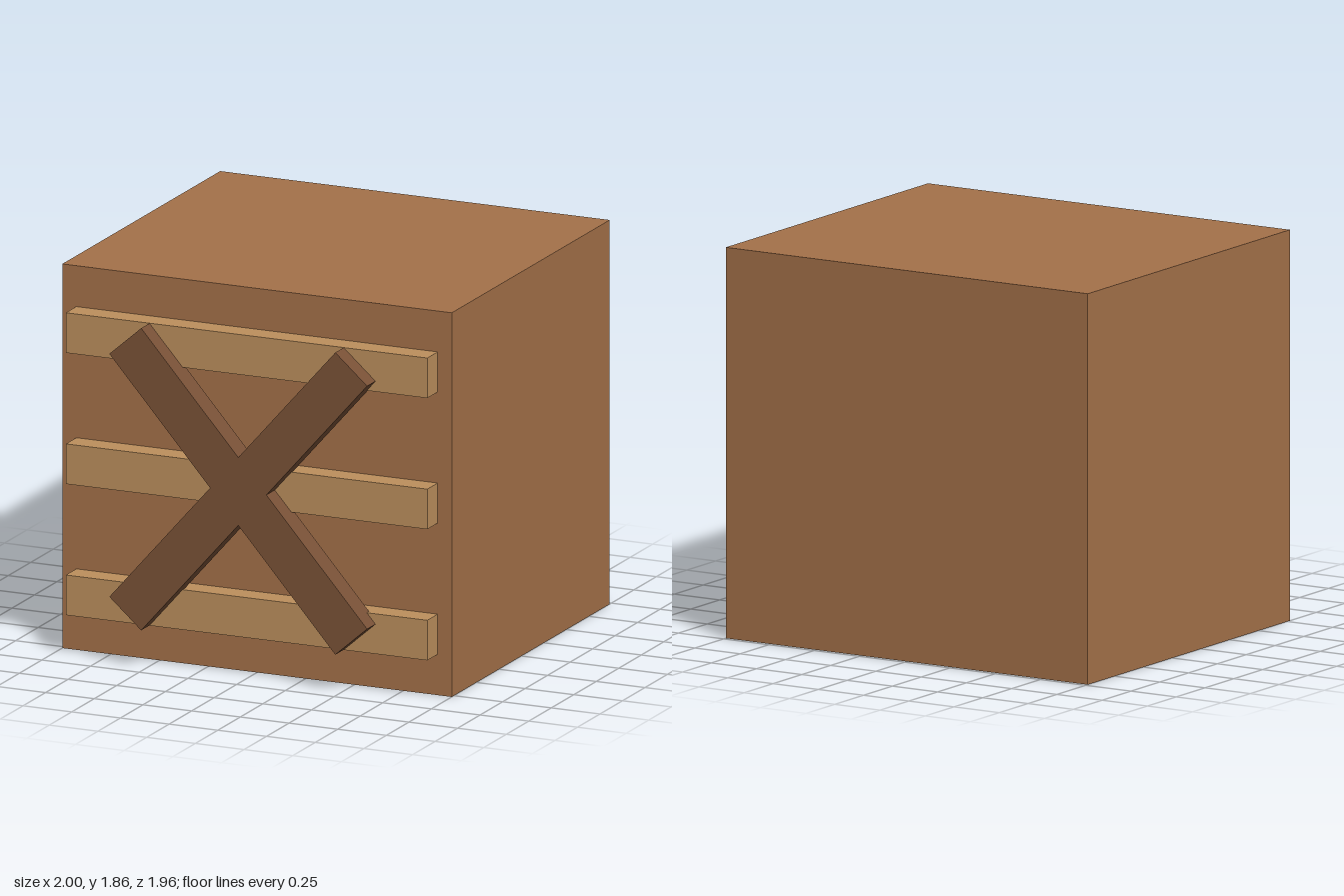
import * as THREE from 'three';

export function createModel() {
  const model = new THREE.Group();
  model.name = 'woodenCrate';

  const bodyWood = new THREE.MeshStandardMaterial({ color: 0xa47149 });
  const slatWood = new THREE.MeshStandardMaterial({ color: 0xbc8f5d });
  const braceWood = new THREE.MeshStandardMaterial({ color: 0x7a5237 });

  function addBox(name, material, size, position, tilt = 0) {
    const mesh = new THREE.Mesh(new THREE.BoxGeometry(...size), material);
    mesh.name = name;
    mesh.position.set(...position);
    mesh.rotation.z = tilt;
    model.add(mesh);
  }

  // Solid crate body
  const height = 1.86;
  addBox('crateBody', bodyWood, [2, height, 1.755], [0, height / 2, -0.1045]);

  // Three horizontal slats on the front
  ['lowerSlat', 'middleSlat', 'upperSlat'].forEach((name, i) => {
    addBox(name, slatWood, [1.855, 0.194, 0.12], [0, height / 2 + (i - 1) * 0.635, 0.829]);
  });

  // Two crossed braces over the slats
  const tilt = Math.atan2(1.32, 1.16);
  for (const side of [-1, 1]) {
    const name = side > 0 ? 'risingBrace' : 'fallingBrace';
    addBox(name, braceWood, [1.757, 0.217, 0.118], [0, height / 2, 0.923], side * tilt);
  }

  return model;
}
